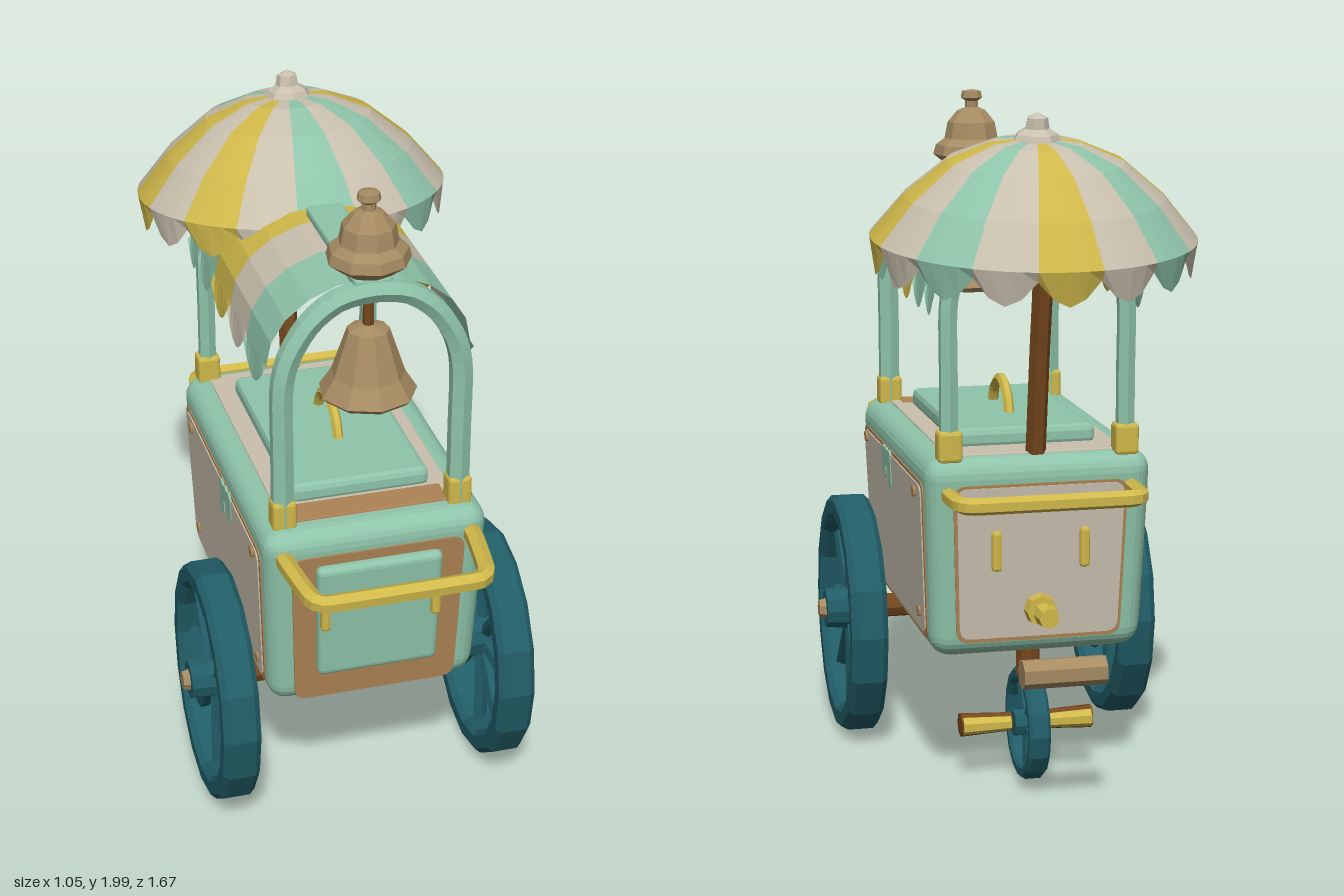
import * as THREE from 'three';
import { RoundedBoxGeometry } from 'three/addons/geometries/RoundedBoxGeometry.js';
import { ParametricGeometry } from 'three/addons/geometries/ParametricGeometry.js';

const V = (x, y, z) => new THREE.Vector3(x, y, z);
const material = (name, color, side = THREE.FrontSide) => {
  const m = new THREE.MeshStandardMaterial({ color, side });
  m.name = name;
  return m;
};

export function createModel() {
  const model = new THREE.Group();
  model.name = 'streetCart';
  const mint = material('mint', 0x8fc4aa, THREE.DoubleSide);
  const cream = material('cream', 0xc9c0ae, THREE.DoubleSide);
  const yellow = material('yellow', 0xcfb84a, THREE.DoubleSide);
  const petrol = material('petrol', 0x215d67);
  const brown = material('brown', 0x75471d);
  const tan = material('tan', 0xa68b62);
  const copper = material('copper', 0xad8454);

  // Adds a faceted mesh
  const add = (name, geo, mat, parent = model) => {
    const g = geo.index ? geo.toNonIndexed() : geo;
    g.computeVertexNormals();
    const mesh = new THREE.Mesh(g, mat);
    mesh.name = name;
    parent.add(mesh);
    return mesh;
  };
  const box = (name, w, h, d, x, y, z, mat, r = 0.01) =>
    add(name, new RoundedBoxGeometry(w, h, d, 1, r).translate(x, y, z), mat);
  // Cylinder between two points
  const rod = (name, a, b, r0, r1, sides, mat, parent) => {
    const dir = b.clone().sub(a);
    const g = new THREE.CylinderGeometry(r1, r0, dir.length(), sides);
    g.applyQuaternion(new THREE.Quaternion().setFromUnitVectors(V(0, 1, 0), dir.normalize()));
    const c = a.clone().add(b).multiplyScalar(0.5);
    return add(name, g.translate(c.x, c.y, c.z), mat, parent);
  };
  const tube = (name, pts, r, mat, tension = 0.15, n = 28) =>
    add(name, new THREE.TubeGeometry(new THREE.CatmullRomCurve3(pts, false, 'catmullrom', tension), n, r, 6), mat);
  const lathe = (pts, n) => new THREE.LatheGeometry(pts.map(p => new THREE.Vector2(...p)), n);

  // Narrows the cart towards its floor
  const taper = geo => {
    const p = geo.attributes.position;
    for (let i = 0; i < p.count; i++) {
      const k = 1 - 0.07 * (1.02 - p.getY(i)) / 0.59;
      p.setX(i, p.getX(i) * k);
      p.setZ(i, 0.06 + (p.getZ(i) - 0.06) * k);
    }
    return geo;
  };
  // Thin plate with round corners on the cart body, turned by angle
  const plate = (name, w, h, r, x, y, z, angle, mat, depth = 0.006) => {
    const s = new THREE.Shape(), a = w / 2, b = h / 2;
    s.moveTo(-a + r, -b).lineTo(a - r, -b).quadraticCurveTo(a, -b, a, -b + r)
      .lineTo(a, b - r).quadraticCurveTo(a, b, a - r, b)
      .lineTo(-a + r, b).quadraticCurveTo(-a, b, -a, b - r)
      .lineTo(-a, -b + r).quadraticCurveTo(-a, -b, -a + r, -b);
    const g = new THREE.ExtrudeGeometry(s, { depth, bevelEnabled: false, curveSegments: 4 });
    return add(name, taper(g.rotateY(angle).translate(x, y, z)), mat);
  };

  // Cart body, floor and top
  add('cartBody', taper(new RoundedBoxGeometry(0.67, 0.59, 1.04, 3, 0.06).translate(0, 0.725, 0.06)), mint);
  box('cartFloor', 0.5, 0.012, 0.84, 0, 0.429, 0.06, copper, 0.003);
  box('cartTop', 0.52, 0.008, 0.9, 0, 1.021, 0.05, cream, 0.003);
  box('topTrim', 0.46, 0.009, 0.09, 0, 1.023, 0.455, copper, 0.003);

  // Side panels with rivets and paint drips
  for (const s of [-1, 1]) {
    const turn = s * Math.PI / 2, x = s * 0.335;
    plate('sideTrim', 0.92, 0.47, 0.04, x, 0.71, 0.06, turn, copper, 0.004);
    plate('sidePanel', 0.89, 0.445, 0.035, x, 0.712, 0.06, turn, cream, 0.008);
    for (const [z, y] of [[0.455, 0.915], [-0.31, 0.905], [-0.32, 0.545], [0.46, 0.54]])
      plate('rivet', 0.03, 0.03, 0.012, x, y, z, turn, copper, 0.016);
    for (const [z, h] of [[0.17, 0.1], [0.13, 0.06], [0.085, 0.12]])
      plate('paintDrip', 0.048, h, 0.022, x, 0.945 - h / 2, z, turn, mint, 0.011);
  }

  // Front trim and door
  plate('frontTrim', 0.52, 0.5, 0.04, 0, 0.695, 0.58, 0, copper);
  add('frontDoor', taper(new RoundedBoxGeometry(0.38, 0.38, 0.05, 2, 0.02).translate(0, 0.725, 0.59)), mint);
  for (const s of [-1, 1]) {
    box('doorHinge', 0.028, 0.11, 0.03, s * 0.165, 0.765, 0.6, yellow);
    box('rearLatch', 0.03, 0.12, 0.025, s * 0.13, 0.75, -0.455, yellow);
  }

  // Back panel and tap
  plate('backTrim', 0.52, 0.47, 0.04, 0, 0.71, -0.46, Math.PI, copper, 0.004);
  plate('backPanel', 0.5, 0.45, 0.035, 0, 0.712, -0.46, Math.PI, cream, 0.008);
  rod('tapFlange', V(0, 0.57, -0.42), V(0, 0.57, -0.475), 0.05, 0.045, 8, yellow);
  rod('tapPipe', V(0, 0.57, -0.45), V(0, 0.57, -0.53), 0.025, 0.025, 8, yellow);
  rod('tapKnob', V(0, 0.57, -0.51), V(0, 0.57, -0.56), 0.035, 0.03, 8, yellow);
  rod('grip', V(-0.12, 0.46, -0.715), V(0.12, 0.46, -0.715), 0.043, 0.043, 7, tan);

  // Lid
  box('lid', 0.41, 0.06, 0.69, 0, 1.045, 0.055, mint, 0.018);
  tube('lidHandle', [V(0, 1.06, 0.16), V(0, 1.12, 0.13), V(0, 1.155, 0.07), V(0, 1.155, 0.02),
    V(0, 1.12, -0.035), V(0, 1.06, -0.065)], 0.016, yellow, 0.5);

  // Push handles
  tube('frontHandle', [V(-0.28, 0.95, 0.5), V(-0.275, 0.95, 0.62), V(-0.255, 0.945, 0.77), V(-0.22, 0.94, 0.805),
    V(0.22, 0.94, 0.805), V(0.255, 0.945, 0.77), V(0.275, 0.95, 0.62), V(0.28, 0.95, 0.5)], 0.027, yellow, 0.15, 48);
  tube('rearHandle', [V(-0.27, 0.92, -0.4), V(-0.265, 0.92, -0.56), V(-0.23, 0.92, -0.605),
    V(0.23, 0.92, -0.605), V(0.265, 0.92, -0.56), V(0.27, 0.92, -0.4)], 0.025, yellow, 0.15, 48);

  // Arched frames with sockets
  for (const [z, r] of [[0.49, 0.034], [-0.41, 0.028]]) {
    const half = [[0.26, 1.02], [0.26, 1.25], [0.26, 1.45], [0.238, 1.55], [0.18, 1.645], [0.1, 1.705]];
    const pts = [...half.map(([x, y]) => V(-x, y, z)), V(0, 1.722, z),
      ...half.slice().reverse().map(([x, y]) => V(x, y, z))];
    tube('archFrame', pts, r, mint, 0.4, 48);
    for (const s of [-1, 1]) box('postSocket', 0.07, 0.09, 0.065, s * 0.26, 1.055, z, yellow);
  }

  // Striped barrel canopy with scalloped edges
  const stripes = [[0.46, 0.25, mint], [0.25, 0.06, cream], [0.06, -0.13, yellow],
    [-0.13, -0.3, mint], [-0.3, -0.43, mint]];
  for (const [z0, z1, mat] of stripes) {
    const N = 12;
    add('canopyStripe', new ParametricGeometry((u, v, t) => {
      const i = Math.round(u * N), a = Math.PI * (THREE.MathUtils.clamp(i, 1, N - 1) - 1) / (N - 2);
      const flap = i === 0 || i === N ? 0.02 + 0.065 * Math.sin(Math.PI * v) : 0;
      t.set(0.295 * Math.cos(a) * (flap ? 1.04 : 1), 1.51 + 0.235 * Math.sin(a) - flap, z0 + (z1 - z0) * v);
    }, N, 6), mat);
  }
  box('canopyRidge', 0.11, 0.035, 0.5, 0, 1.745, 0.25, mint);

  // Umbrella, with yellow and mint wedges between cream ones
  const umbrella = new THREE.Group();
  umbrella.name = 'umbrella';
  umbrella.position.set(0.012, 1.65, -0.41);
  umbrella.rotation.x = -0.11;
  umbrella.scale.z = 0.93;
  model.add(umbrella);
  const rib = [[0.001, 0.28], [0.13, 0.265], [0.25, 0.215], [0.37, 0.115], [0.465, 0], [0.452, -0.03]];
  const wedges = [yellow, mint, yellow, mint, mint, yellow, yellow, mint];
  for (let k = 0; k < 16; k++) {
    add('umbrellaWedge', new ParametricGeometry((u, v, t) => {
      const j = Math.round(v * 5), a = (k - 0.5 + u) * Math.PI / 8;
      const [r, y] = rib[j];
      t.set(r * Math.sin(a), y - (j === 5 ? 0.07 * Math.sin(Math.PI * u) : 0), -r * Math.cos(a));
    }, 4, 5), k % 2 ? cream : wedges[k / 2], umbrella);
  }
  add('umbrellaFinial', lathe([[0, 0.255], [0.075, 0.262], [0.06, 0.29], [0.035, 0.305], [0.03, 0.335], [0, 0.35]], 7),
    cream, umbrella);
  tube('umbrellaPole', [V(0, 1.0, -0.385), V(0, 1.3, -0.43), V(0, 1.6, -0.475), V(0, 1.9, -0.455)], 0.03, brown, 0.5);

  // Bell on the roof
  add('roofBell', lathe([[0, 1.765], [0.075, 1.765], [0.12, 1.8], [0.112, 1.83], [0.085, 1.85], [0.075, 1.9],
    [0.045, 1.935], [0.02, 1.945], [0.02, 1.965], [0.034, 1.975], [0.03, 1.995], [0, 2]], 9)
    .translate(0, 0, 0.445), tan);

  // Hanging bell with a dark inside
  add('hangingBell', lathe([[0.125, 1.38], [0.14, 1.395], [0.105, 1.45], [0.075, 1.54], [0.06, 1.585], [0, 1.605]], 9)
    .translate(0, 0, 0.45), tan);
  add('bellInside', lathe([[0, 1.58], [0.05, 1.57], [0.065, 1.53], [0.095, 1.45], [0.125, 1.38]], 9)
    .translate(0, 0, 0.45), brown);
  rod('bellHanger', V(0, 1.59, 0.45), V(0, 1.74, 0.45), 0.016, 0.016, 6, brown);
  rod('bellClapper', V(0, 1.4, 0.45), V(0, 1.58, 0.45), 0.022, 0.01, 6, brown);

  // Spoked wheel turning on the x axis
  const wheel = (name, x, y, z, R, r, w, spokes, spokeR, squash) => {
    const g = new THREE.Group();
    g.name = name;
    g.position.set(x, y, z);
    g.scale.z = squash;
    model.add(g);
    const c = w * 0.3;
    add('rim', lathe([[r, -w + c], [r + c, -w], [R - c, -w], [R, -w + c], [R, w - c], [R - c, w], [r + c, w],
      [r, w - c], [r, -w + c]], 16).rotateZ(Math.PI / 2), petrol, g);
    for (let i = 0; i < spokes; i++) {
      const a = i / spokes * Math.PI * 2, d = V(0, -Math.cos(a), Math.sin(a));
      rod('spoke', d.clone().multiplyScalar(0.02), d.clone().multiplyScalar((r + R) / 2), spokeR, spokeR, 5, petrol, g);
    }
    return g;
  };
  for (const s of [-1, 1]) {
    const g = wheel('bigWheel', s * 0.42, 0.387, 0.305, 0.375, 0.3, 0.056, 8, 0.023, 0.89);
    rod('hub', V(-s * 0.07, 0.015, 0), V(s * 0.085, 0.015, 0), 0.075, 0.06, 10, petrol, g);
    rod('hubCap', V(s * 0.08, 0.015, 0), V(s * 0.105, 0.015, 0), 0.036, 0.028, 7, tan, g);
  }
  rod('axle', V(-0.37, 0.4, 0.305), V(0.37, 0.4, 0.305), 0.038, 0.038, 8, brown);

  // Small wheel with its stem and foot pegs
  const small = wheel('smallWheel', 0, 0.183, -0.3, 0.168, 0.128, 0.032, 5, 0.016, 0.98);
  rod('hub', V(-0.045, 0, 0), V(0.045, 0, 0), 0.04, 0.04, 8, petrol, small);
  rod('wheelStem', V(0, 0.33, -0.3), V(0, 0.45, -0.3), 0.036, 0.036, 8, brown);
  for (const s of [-1, 1]) {
    rod('footPeg', V(s * 0.04, 0.18, -0.272), V(s * 0.2, 0.18, -0.272), 0.028, 0.036, 7, brown);
    rod('pegSleeve', V(s * 0.05, 0.18, -0.288), V(s * 0.195, 0.18, -0.288), 0.022, 0.028, 7, yellow);
  }
  return model;
}
